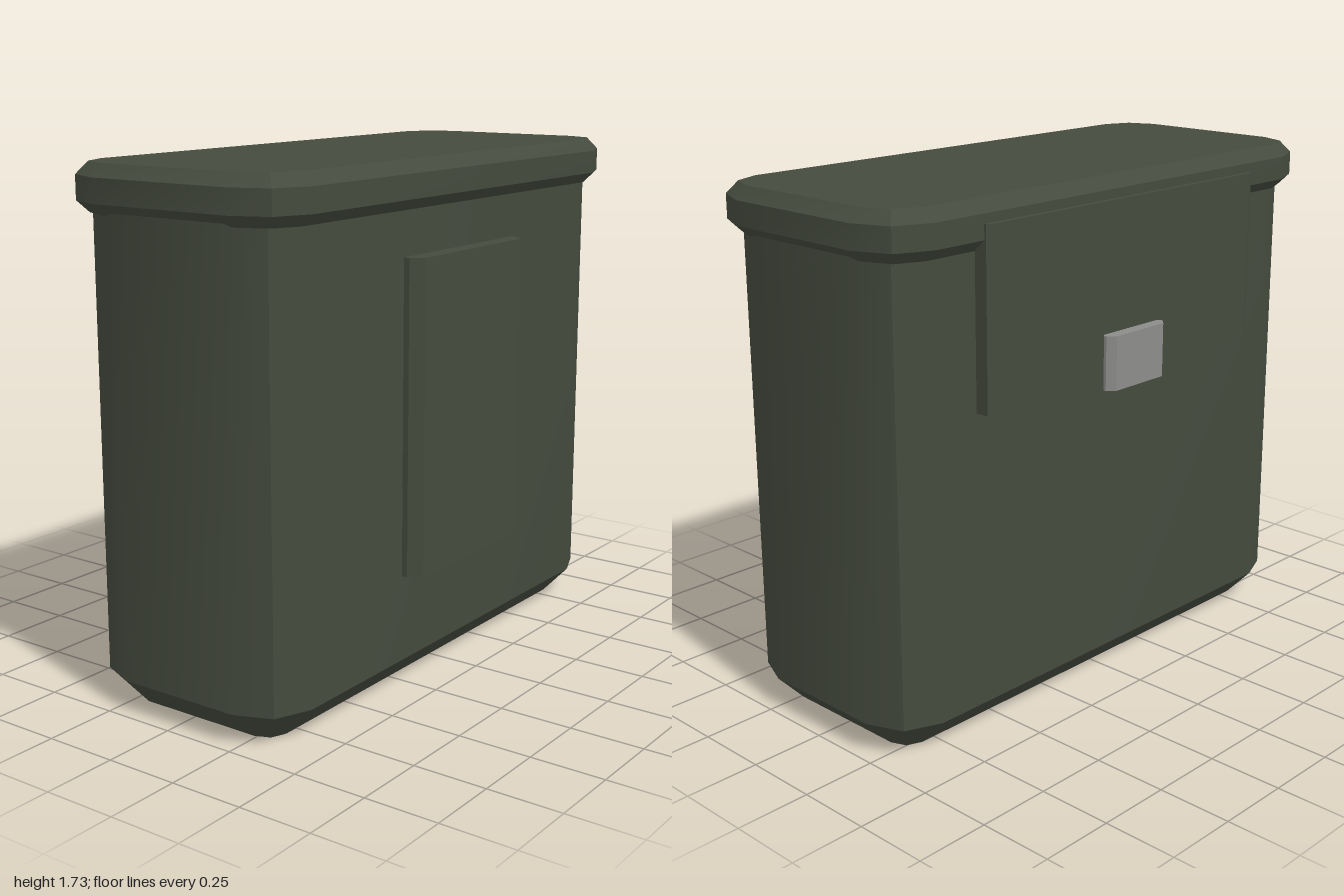
import * as THREE from 'three';
import { toCreasedNormals } from 'three/addons/utils/BufferGeometryUtils.js';

const MID_Z = 0.02; // the pouch sits slightly forward of centre

// Rounded rectangle as [x, z] points, three points per corner
function outline(halfX, halfZ, radius) {
  const points = [];
  const corners = [[1, 1], [-1, 1], [-1, -1], [1, -1]];
  corners.forEach(([sx, sz], quadrant) => {
    for (let i = 0; i < 3; i++) {
      const a = (quadrant + i / 2) * Math.PI / 2;
      points.push([
        sx * (halfX - radius) + radius * Math.cos(a),
        sz * (halfZ - radius) + radius * Math.sin(a) + MID_Z,
      ]);
    }
  });
  return points;
}

// Closed solid through stacked outlines; each level is [y, inset]
function stack(halfX, halfZ, radius, levels) {
  const positions = [];
  const index = [];
  const n = 12;
  for (const [y, inset] of levels) {
    for (const [x, z] of outline(halfX - inset, halfZ - inset, radius - inset)) positions.push(x, y, z);
  }
  for (let level = 0; level < levels.length - 1; level++) {
    for (let i = 0; i < n; i++) {
      const a = level * n + i;
      const b = level * n + (i + 1) % n;
      index.push(a, a + n, b, b, a + n, b + n);
    }
  }
  const top = (levels.length - 1) * n;
  for (let i = 1; i < n - 1; i++) {
    index.push(0, i, i + 1);
    index.push(top, top + i + 1, top + i);
  }
  const geometry = new THREE.BufferGeometry();
  geometry.setAttribute('position', new THREE.Float32BufferAttribute(positions, 3));
  geometry.setIndex(index);
  return toCreasedNormals(geometry, 0.5);
}

// Upright plate: half of its plan profile as [x, z], mirrored and raised from y0 to y1
function plate(half, y0, y1) {
  const mirrored = half.map(([x, z]) => [-x, z]).reverse();
  const shape = new THREE.Shape([...half, ...mirrored].map(([x, z]) => new THREE.Vector2(x, -z)));
  const geometry = new THREE.ExtrudeGeometry(shape, { depth: y1 - y0, bevelEnabled: false });
  geometry.rotateX(-Math.PI / 2);
  geometry.translate(0, y0, 0);
  return geometry;
}

export function createModel() {
  const fabric = new THREE.MeshStandardMaterial({ color: 0x454b3e });
  fabric.name = 'olive fabric';
  const metal = new THREE.MeshStandardMaterial({ color: 0x8c8c8a });
  metal.name = 'grey metal';

  const group = new THREE.Group();
  group.name = 'pouch';
  const add = (name, geometry, material) => {
    const mesh = new THREE.Mesh(geometry, material);
    mesh.name = name;
    group.add(mesh);
  };

  // Body with a tapered base
  add('body', stack(0.97, 0.39, 0.17, [[0, 0.1], [0.105, 0], [1.6, 0]]), fabric);

  // Overhanging lid, bevelled above and below
  add('lid', stack(1, 0.43, 0.17, [[1.575, 0.04], [1.612, 0], [1.69, 0], [1.73, 0.04]]), fabric);

  // Raised panel on the front
  add('frontPanel', plate([[0.32, 0.4], [0.32, 0.43], [0.287, 0.47]], 0.395, 1.43), fabric);

  // Closing flap hanging down the back
  add('backFlap', plate([[0.64, -0.36], [0.64, -0.417], [0.615, -0.428]], 1.08, 1.66), fabric);

  // Clasp at the lower edge of the flap
  add('clasp', plate([[0.12, -0.42], [0.14, -0.437], [0.14, -0.447], [0.115, -0.47]], 1.055, 1.235), metal);

  return group;
}
